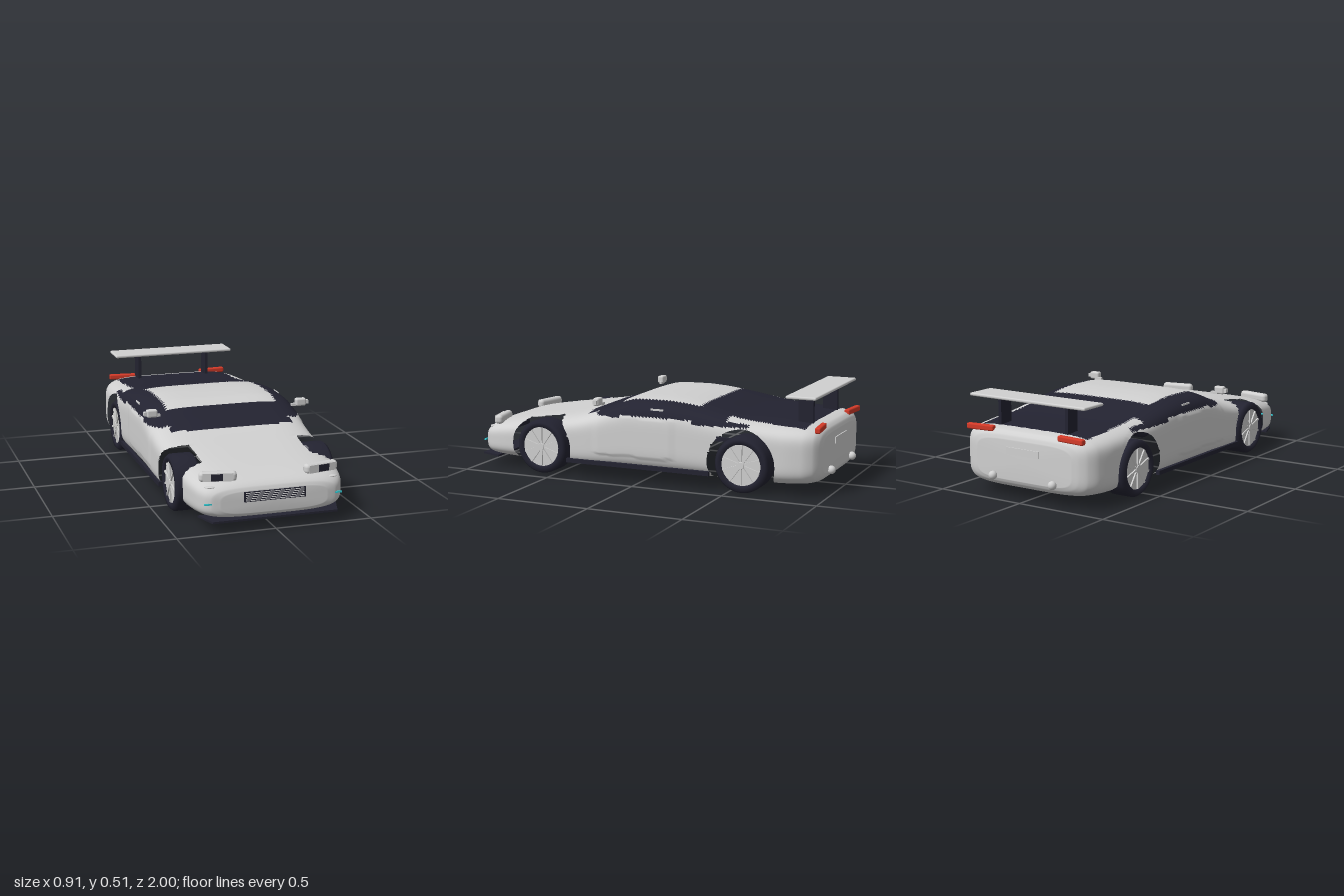
import * as THREE from 'three';
import { RoundedBoxGeometry } from 'three/addons/geometries/RoundedBoxGeometry.js';

const mat = (name, color) => Object.assign(new THREE.MeshStandardMaterial({ color }), { name });

// Hull stations: z, half width, bottom, top, squareness
const STATIONS = [
  [0.98, 0.27, 0.085, 0.195, 4], [0.97, 0.32, 0.07, 0.215, 4], [0.94, 0.355, 0.058, 0.236, 4],
  [0.9, 0.375, 0.052, 0.25, 4], [0.8, 0.396, 0.047, 0.27, 4], [0.58, 0.415, 0.042, 0.302, 4.4],
  [0.4, 0.425, 0.042, 0.328, 4.7], [0.25, 0.428, 0.042, 0.37, 4.7], [0.15, 0.428, 0.042, 0.41, 4.7],
  [0.05, 0.428, 0.042, 0.437, 4.7], [-0.1, 0.428, 0.042, 0.44, 4.7], [-0.2, 0.428, 0.042, 0.435, 4.7],
  [-0.35, 0.428, 0.042, 0.415, 4.7], [-0.6, 0.428, 0.042, 0.374, 4.9], [-0.78, 0.42, 0.045, 0.36, 5],
  [-0.88, 0.4, 0.05, 0.353, 5], [-0.93, 0.37, 0.06, 0.344, 5], [-0.955, 0.33, 0.08, 0.325, 5],
  [-0.965, 0.29, 0.1, 0.3, 5],
];
const WHEELS = [0.58, -0.57];
const AXLE_Y = 0.147, ARCH_R = 0.182, ARCH_X = 0.29;

// Monotone cubic through one column of the stations
function station(z, k) {
  const S = STATIONS, n = S.length;
  let i = 0;
  while (i < n - 2 && z < S[i + 1][0]) i++;
  const d = (j) => (S[j + 1][k] - S[j][k]) / (S[j + 1][0] - S[j][0]);
  const slope = (j) => {
    if (j === 0) return d(0);
    if (j === n - 1) return d(n - 2);
    const a = d(j - 1), b = d(j);
    return a * b <= 0 ? 0 : (2 * a * b) / (a + b);
  };
  const h = S[i + 1][0] - S[i][0], t = (z - S[i][0]) / h, u = 1 - t;
  return S[i][k] * (1 + 2 * t) * u * u + S[i + 1][k] * t * t * (3 - 2 * t)
    + h * (slope(i) * t * u * u - slope(i + 1) * t * t * u);
}

// Dark glass and engine cover areas on the hull
function isGlass(x, y, z) {
  const a = Math.abs(x);
  if (y < 0.3) return false;
  if (z > 0.14 && z < 0.35 && (a < 0.25 || (a < 0.33 && z < 0.33))) return true;
  if (z > -0.88 && z < -0.31 && a < 0.33) return true;
  if (z > -0.48 && z < 0.27 && (a > 0.31 || z < -0.31) && y > (z > 0.1 ? 0.342 : 0.355)) return true;
  return z > -0.6 && z < -0.3 && a > 0.38 && y > 0.335 && y < 0.357;
}

function hullGeometry() {
  const NZ = 180, NA = 160, pos = [], paint = [], glass = [];
  for (let i = 0; i <= NZ; i++) {
    // rows bunch up toward both ends
    const t = i / NZ, s = t - 0.13 * Math.sin(2 * Math.PI * t);
    const z0 = 0.98 - 1.945 * s;
    const [w, b, top, n] = [1, 2, 3, 4].map((k) => station(z0, k));
    for (let j = 0; j < NA; j++) {
      const a = (2 * Math.PI * j) / NA, c = Math.cos(a), q = Math.sin(a);
      const r = (Math.abs(c) ** n + Math.abs(q) ** n) ** (-1 / n);
      let x = w * r * c, y = (b + top) / 2 + ((top - b) / 2) * r * q, z = z0;
      // raised doors
      if (z < 0.25 && z > -0.19 && y > 0.14 && y < 0.35) x += Math.sign(x) * 0.005;
      // clean wheel arch edges
      for (const wz of WHEELS) {
        const R = Math.hypot(z - wz, y - AXLE_Y);
        if (Math.abs(x) > ARCH_X && Math.abs(R - ARCH_R) < 0.0075) {
          z = wz + ((z - wz) * ARCH_R) / R;
          y = AXLE_Y + ((y - AXLE_Y) * ARCH_R) / R;
        }
      }
      pos.push(x, y, z);
    }
  }
  const front = pos.length / 3;
  pos.push(0, 0.14, 0.984, 0, 0.2, -0.968);
  const face = (...v) => {
    const [x, y, z] = [0, 1, 2].map((k) => v.reduce((sum, p) => sum + pos[p * 3 + k], 0) / 3);
    const cut = WHEELS.some((wz) => Math.abs(x) > ARCH_X && Math.hypot(z - wz, y - AXLE_Y) < ARCH_R);
    if (!cut) (isGlass(x, y, z) ? glass : paint).push(...v);
  };
  for (let j = 0; j < NA; j++) {
    const k = (j + 1) % NA;
    for (let i = 0; i < NZ; i++) {
      const a = i * NA + j, b = i * NA + k, c = a + NA, d = b + NA;
      face(a, c, b);
      face(b, c, d);
    }
    face(front, j, k);
    face(front + 1, NZ * NA + k, NZ * NA + j);
  }
  const g = new THREE.BufferGeometry();
  g.setAttribute('position', new THREE.Float32BufferAttribute(pos, 3));
  g.setIndex([...paint, ...glass]);
  g.addGroup(0, paint.length, 0);
  g.addGroup(paint.length, glass.length, 1);
  g.computeVertexNormals();
  return g;
}

export function createModel() {
  const car = new THREE.Group();
  car.name = 'sportsCar';
  const silver = mat('silverPaint', 0xd0d0d0), dark = mat('darkTrim', 0x232331);
  const red = mat('tailRed', 0xd43a28), cyan = mat('cyanLight', 0x35cdd6);

  const add = (name, geo, m, x, y, z, parent = car) => {
    const mesh = new THREE.Mesh(geo, m);
    mesh.name = name;
    mesh.position.set(x, y, z);
    parent.add(mesh);
    return mesh;
  };
  const box = (name, m, w, h, d, x, y, z, parent) => add(name, new THREE.BoxGeometry(w, h, d), m, x, y, z, parent);
  const soft = (name, m, w, h, d, x, y, z, r, parent) => add(name, new RoundedBoxGeometry(w, h, d, 3, r), m, x, y, z, parent);

  add('body', hullGeometry(), [silver, dark], 0, 0, 0);

  // Wheels, built with the axle along x and the outer face at +x
  const tyreProfile = [[0.1, -0.067], [0.13, -0.067], [0.145, -0.05], [0.145, 0.05], [0.132, 0.067], [0.108, 0.067], [0.106, 0.05]]
    .map((p) => new THREE.Vector2(...p));
  const tyreGeo = new THREE.LatheGeometry(tyreProfile, 40).rotateZ(-Math.PI / 2);
  const discGeo = new THREE.CylinderGeometry(0.107, 0.107, 0.118, 40).rotateZ(-Math.PI / 2);
  const hubGeo = new THREE.CylinderGeometry(0.018, 0.022, 0.014, 16).rotateZ(-Math.PI / 2);
  for (const z of WHEELS) for (const side of [1, -1]) {
    const wheel = new THREE.Group();
    wheel.name = 'wheel';
    wheel.position.set(side * 0.353, 0.145, z);
    if (side < 0) wheel.rotation.y = Math.PI;
    add('tyre', tyreGeo, dark, 0, 0, 0, wheel);
    add('rim', discGeo, silver, -0.004, 0, 0, wheel);
    add('hub', hubGeo, silver, 0.06, 0, 0, wheel);
    for (let i = 0; i < 10; i++) {
      const a = (i * Math.PI) / 5;
      const spoke = box('spoke', silver, 0.01, 0.088, 0.011, 0.058, 0.06 * Math.cos(a), 0.06 * Math.sin(a), wheel);
      spoke.rotation.x = a;
    }
    car.add(wheel);
  }

  // Mirrored parts
  for (const s of [1, -1]) {
    box('sideSkirt', dark, 0.02, 0.022, 0.82, s * 0.421, 0.088, 0.01);
    soft('mirrorHousing', silver, 0.058, 0.042, 0.035, s * 0.413, 0.417, 0.235, 0.01);
    box('mirrorTip', silver, 0.02, 0.02, 0.022, s * 0.446, 0.416, 0.235);
    box('mirrorArm', silver, 0.04, 0.014, 0.015, s * 0.385, 0.402, 0.225);
    box('doorHandle', silver, 0.006, 0.012, 0.07, s * 0.4, 0.392, -0.1);
    box('wingPost', dark, 0.018, 0.15, 0.08, s * 0.207, 0.42, -0.845);

    // Raised headlights, swept back toward the sides
    const lamp = new THREE.Group();
    lamp.name = 'headlight';
    lamp.position.set(s * 0.265, 0.259, 0.898);
    lamp.rotation.y = s * 0.2;
    soft('headlightHousing', silver, 0.185, 0.05, 0.045, 0, 0, 0, 0.018, lamp);
    box('headlightFrame', silver, 0.15, 0.04, 0.006, 0, 0, 0.022, lamp);
    box('headlightLens', dark, 0.058, 0.034, 0.006, s * 0.006, 0, 0.025, lamp);
    car.add(lamp);

    const slit = add('noseSlit', new THREE.SphereGeometry(1, 16, 8), silver, s * 0.31, 0.218, 0.93);
    slit.scale.set(0.03, 0.006, 0.02);
    box('runningLight', cyan, 0.155, 0.008, 0.008, s * 0.277, 0.143, 0.967);

    const tail = soft('tailLight', red, 0.16, 0.03, 0.03, s * 0.28, 0.343, -0.945, 0.008);
    tail.rotation.y = s * 0.1;
    add('exhaust', new THREE.SphereGeometry(0.022, 20, 14), silver, s * 0.185, 0.113, -0.976);
    box('rearReflector', dark, 0.02, 0.008, 0.008, s * 0.29, 0.12, -0.955);
  }

  // Rear wing
  soft('wing', silver, 0.71, 0.016, 0.16, 0, 0.5, -0.86, 0.007);
  box('numberPlate', silver, 0.2, 0.035, 0.008, 0, 0.25, -0.968);

  // Front grille
  box('grille', dark, 0.315, 0.05, 0.01, 0, 0.168, 0.981);
  for (let i = 0; i < 5; i++) box('grilleSlat', silver, 0.3, 0.004, 0.006, 0, 0.149 + i * 0.0095, 0.985);

  // Front lip, tapered at the corners
  const lip = new THREE.Shape([[-0.32, 1], [-0.36, 0.88], [0.36, 0.88], [0.32, 1]].map((p) => new THREE.Vector2(...p)));
  const lipGeo = new THREE.ExtrudeGeometry(lip, { depth: 0.01, bevelEnabled: false }).rotateX(Math.PI / 2);
  add('frontLip', lipGeo, dark, 0, 0.064, 0);

  return car;
}
